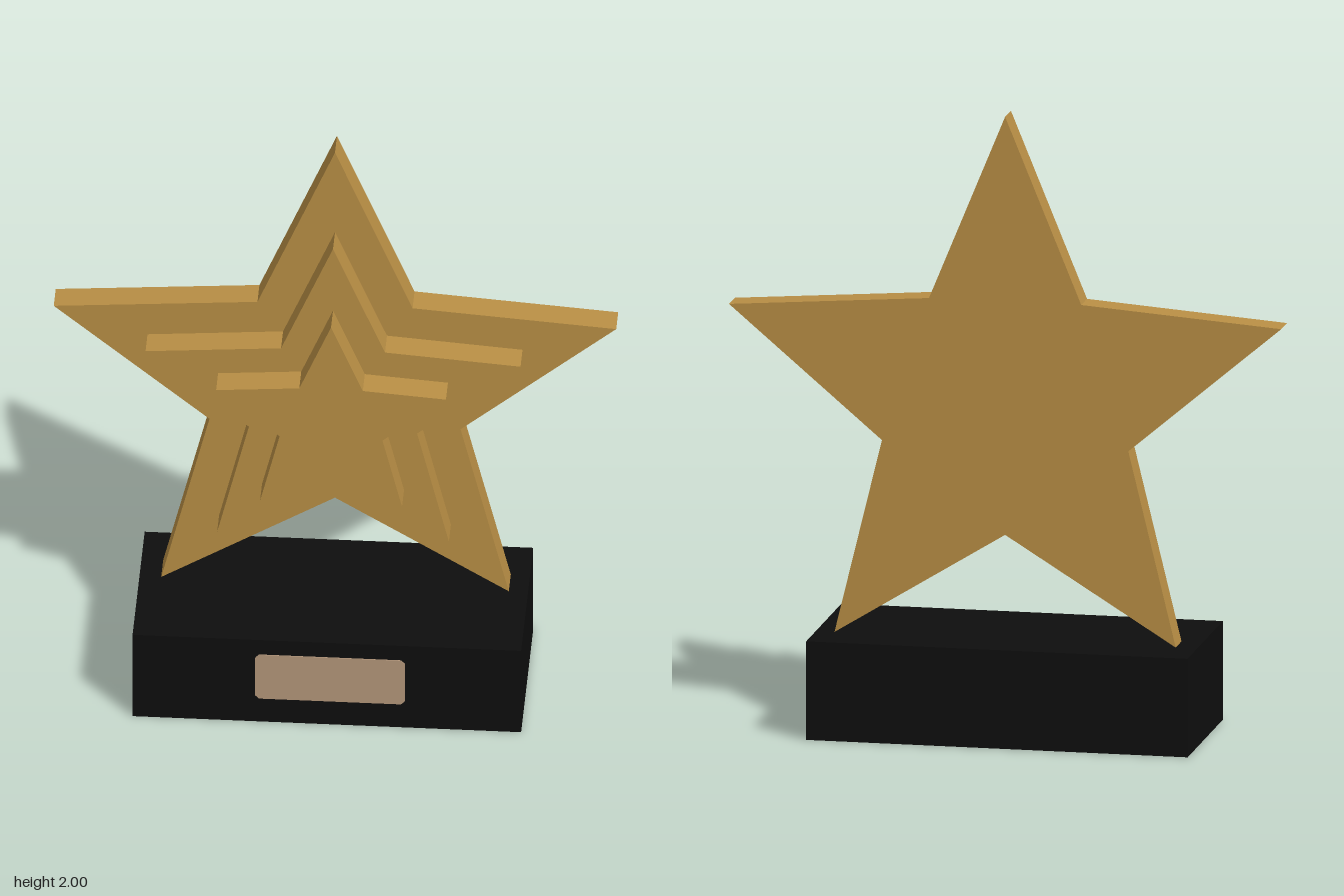
import * as THREE from 'three';

const gold = new THREE.MeshStandardMaterial({ color: 0xb98f45 });
gold.name = 'gold';
const black = new THREE.MeshStandardMaterial({ color: 0x0e0e0e });
black.name = 'black';
const bronze = new THREE.MeshStandardMaterial({ color: 0xb3967a });
bronze.name = 'paleBronze';

const STAR_Y = 1.07;
const LAYER = 0.0895;

function addMesh(group, name, geometry, material, x, y, z) {
  const mesh = new THREE.Mesh(geometry, material);
  mesh.name = name;
  mesh.position.set(x, y, z);
  group.add(mesh);
}

// Five-pointed star with its first tip straight up
function starGeometry(outer, inner) {
  const points = [];
  for (let i = 0; i < 10; i++) {
    const angle = Math.PI / 2 + (i * Math.PI) / 5;
    const r = i % 2 ? inner : outer;
    points.push(new THREE.Vector2(r * Math.cos(angle), r * Math.sin(angle)));
  }
  return new THREE.ExtrudeGeometry(new THREE.Shape(points), { depth: LAYER, bevelEnabled: false });
}

// Thin plate with small clipped corners
function plaqueGeometry(w, h, c) {
  const x = w / 2, y = h / 2;
  const corners = [
    [-x + c, -y], [x - c, -y], [x, -y + c], [x, y - c],
    [x - c, y], [-x + c, y], [-x, y - c], [-x, -y + c],
  ].map(([px, py]) => new THREE.Vector2(px, py));
  return new THREE.ExtrudeGeometry(new THREE.Shape(corners), { depth: 0.005, bevelEnabled: false });
}

export function createModel() {
  const group = new THREE.Group();
  group.name = 'starTrophy';

  // Plinth and plaque
  addMesh(group, 'base', new THREE.BoxGeometry(1.222, 0.317, 0.546), black, -0.004, 0.1585, -0.001);
  addMesh(group, 'plaque', plaqueGeometry(0.47, 0.17, 0.012), bronze, 0.006, 0.176, 0.27);

  // Stepped stars, largest at the back
  const layers = [
    ['backStar', 0.93, 0.415],
    ['middleStar', 0.62, 0.278],
    ['frontStar', 0.38, 0.17],
  ];
  layers.forEach(([name, outer, inner], i) => {
    addMesh(group, name, starGeometry(outer, inner), gold, 0, STAR_Y, -0.128 + i * LAYER);
  });

  return group;
}
